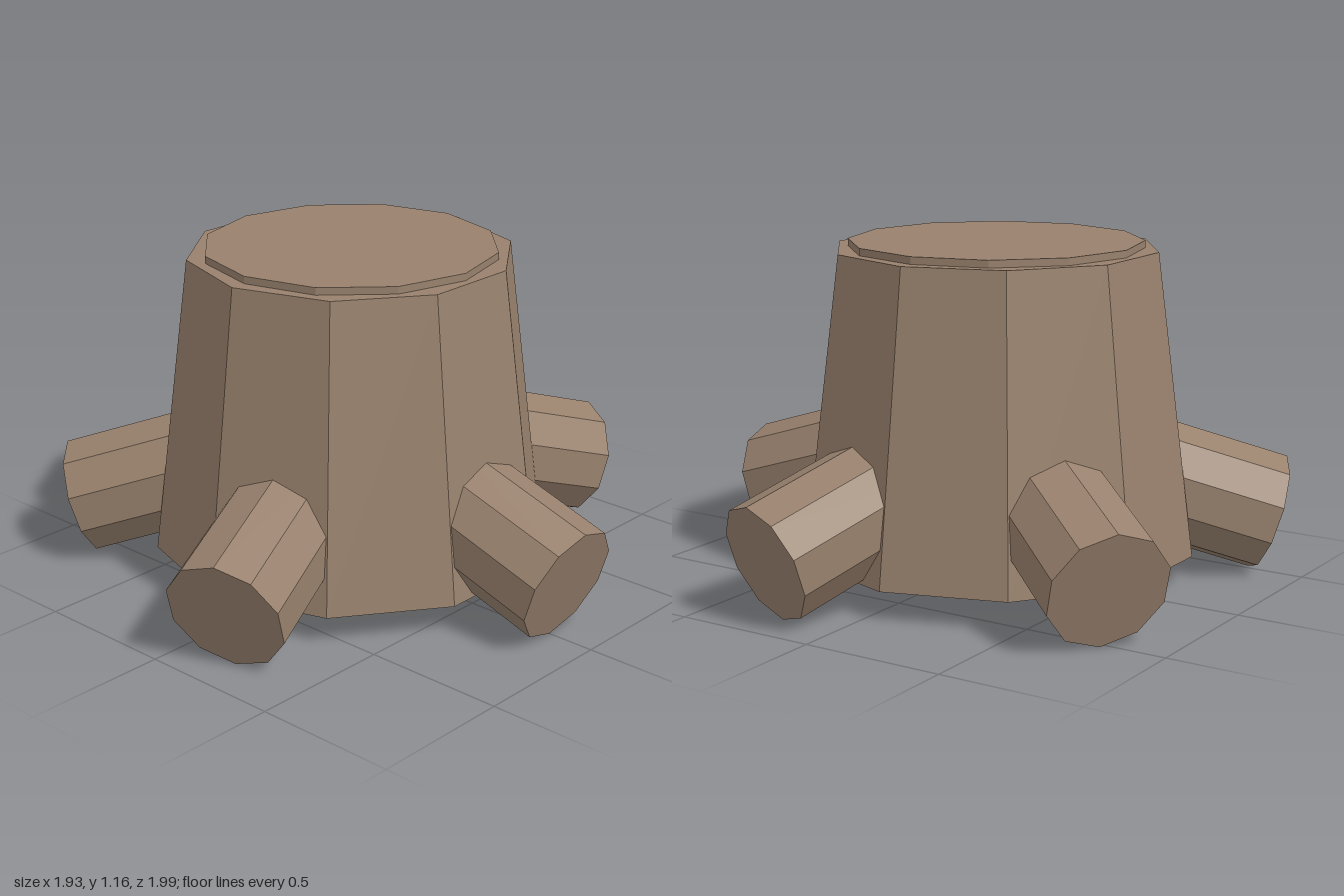
import * as THREE from 'three';

export function createModel() {
  const model = new THREE.Group();
  model.name = 'treeStump';
  const bark = new THREE.MeshStandardMaterial({ color: 0x98816d, flatShading: true });
  bark.name = 'bark brown';

  const AXIS_X = -0.06; // the trunk stands slightly off centre

  function add(name, geometry, parent, y) {
    const mesh = new THREE.Mesh(geometry, bark);
    mesh.name = name;
    mesh.position.y = y;
    parent.add(mesh);
    return mesh;
  }

  const stump = new THREE.Group();
  stump.name = 'stump';
  stump.position.x = AXIS_X;
  model.add(stump);

  // Tapered ten-sided trunk, and the thin cut face on top
  add('trunk', new THREE.CylinderGeometry(0.56, 0.693, 1.04, 10), stump, 0.1 + 0.52);
  add('cutFace', new THREE.CylinderGeometry(0.505, 0.505, 0.04, 12), stump, 1.165 - 0.02);

  // Five roots sloping down and outward; one corner of each points up
  const ROOT_RADIUS = 0.209, ROOT_LENGTH = 0.6, TILT = 0.314;
  const rootGeometry = new THREE.CylinderGeometry(
    ROOT_RADIUS, ROOT_RADIUS, ROOT_LENGTH, 10, 1, false, Math.PI / 2);
  rootGeometry.translate(0, -ROOT_LENGTH / 2, 0); // origin at the outer end
  rootGeometry.rotateZ(-Math.PI / 2 - TILT);
  rootGeometry.translate(0.955, 0, 0);
  for (let i = 0; i < 5; i++) {
    const root = add('root' + (i + 1), rootGeometry, stump, ROOT_RADIUS * Math.cos(TILT));
    root.rotation.y = (i * 2 * Math.PI) / 5;
  }

  return model;
}
